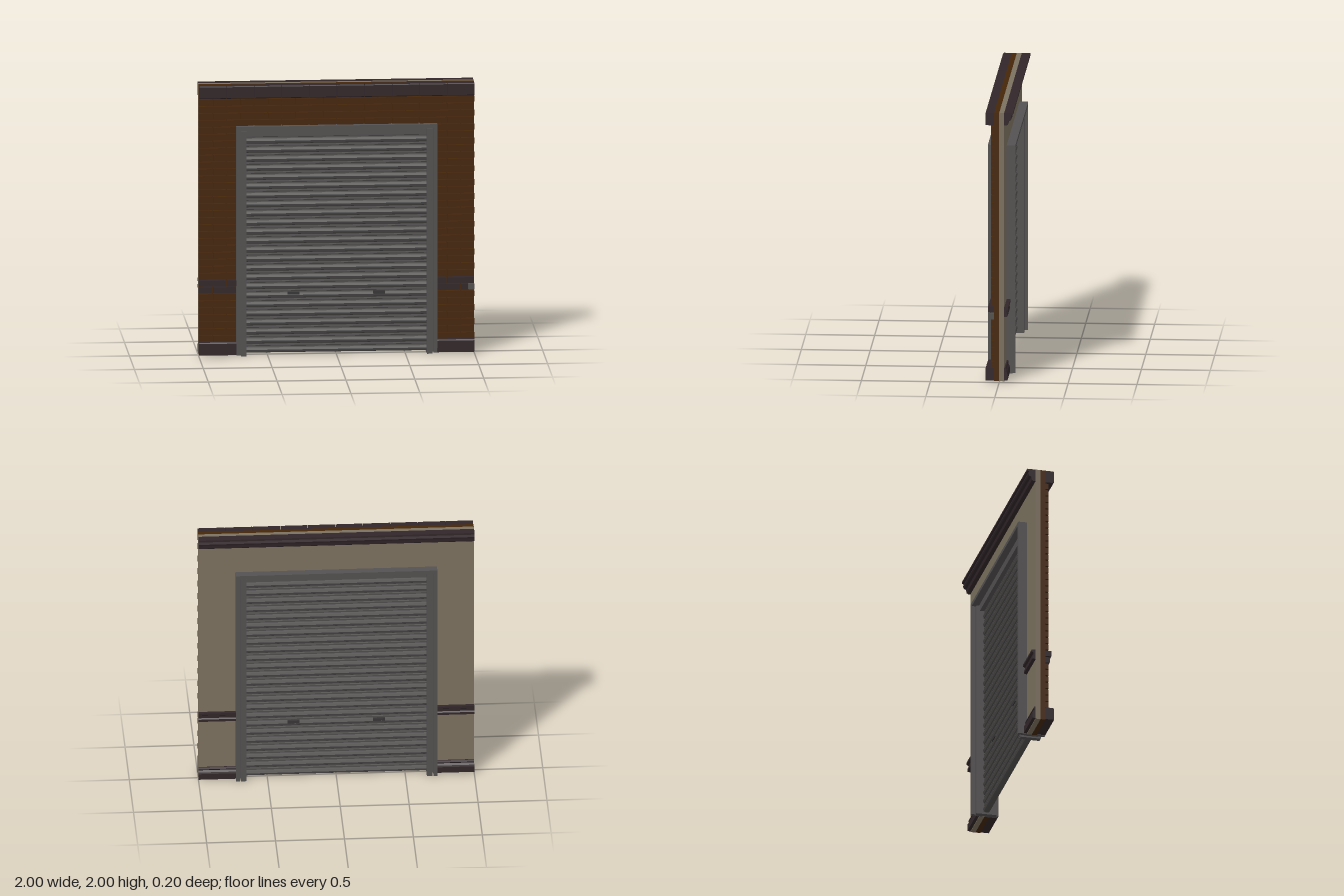
import * as THREE from 'three';
import { mergeGeometries } from 'three/addons/utils/BufferGeometryUtils.js';

const material = (name, color) => {
  const m = new THREE.MeshStandardMaterial({ color });
  m.name = name;
  return m;
};

// Box given by its limits on each axis
function box(x0, x1, y0, y1, z0, z1) {
  return new THREE.BoxGeometry(x1 - x0, y1 - y0, z1 - z0)
    .translate((x0 + x1) / 2, (y0 + y1) / 2, (z0 + z1) / 2);
}

// Profile of [z, y] points swept along x
function sweep(points, x0, x1) {
  const shape = new THREE.Shape(points.map(([z, y]) => new THREE.Vector2(z, y)));
  return new THREE.ExtrudeGeometry(shape, { depth: x1 - x0, bevelEnabled: false })
    .rotateY(-Math.PI / 2).translate(x1, 0, 0);
}

// Upside-down U: outer half width / top, inner half width / top
function portal(xo, yo, xi, yi, y0, depth) {
  const s = new THREE.Shape([[-xo, y0], [-xi, y0], [-xi, yi], [xi, yi], [xi, y0], [xo, y0], [xo, yo], [-xo, yo]]
    .map(([x, y]) => new THREE.Vector2(x, y)));
  return new THREE.ExtrudeGeometry(s, { depth: depth * 2, bevelEnabled: false }).translate(0, 0, -depth);
}

export function createModel() {
  const group = new THREE.Group();
  const brick = material('brickBrown', 0x462609);
  const plaster = material('plasterBeige', 0x7c715f);
  const trim = material('darkTrim', 0x32272a);
  const steel = material('frameSteel', 0x545151);
  const shutterGrey = material('shutterGrey', 0x504e4d);
  const handleGrey = material('handleGrey', 0x383636);

  const add = (name, parts, mat) => {
    const mesh = new THREE.Mesh(parts.length > 1 ? mergeGeometries(parts) : parts[0], mat);
    mesh.name = name;
    group.add(mesh);
  };

  const OPEN = 0.725, HEAD = 1.695;

  // Wall core: brick layer in front, plaster behind
  add('brickCore', [portal(1, 2, OPEN, HEAD, 0.01, 0.0185).translate(0, 0, 0.0185)], brick);
  add('plasterWall', [portal(1, 2, OPEN, HEAD, 0.01, 0.0185).translate(0, 0, -0.0185)], plaster);

  // Running-bond courses, with two dark projecting courses as a band
  const bricks = [], band = [];
  const pitch = 0.0513, gap = 0.0045, base = 0.105;
  for (let row = 0; row < 35; row++) {
    const y0 = base + row * pitch + gap, y1 = base + (row + 1) * pitch - gap;
    const isBand = row === 7 || row === 8;
    const shift = (row === 8 || (row % 2 === 1 && row !== 7)) ? 0 : 0.1;
    const front = row === 8 ? 0.08 : row === 7 ? 0.068 : 0.06;
    const spans = row >= 31 ? [[-1, 1]] : [[-1, -OPEN], [OPEN, 1]];
    for (const [lo, hi] of spans) {
      for (let i = -6; i <= 5; i++) {
        const a = Math.max(lo, i * 0.2 + shift + (i * 0.2 + shift > lo ? gap : 0));
        let b = Math.min(hi, (i + 1) * 0.2 + shift - gap);
        if (row === 7 && b > 0.99) b = 0.955;
        if (b - a > 0.012) (isBand ? band : bricks).push(box(a, b, y0, y1, 0.036, front));
      }
    }
  }
  add('bricks', bricks, brick);
  add('frontBand', band, trim);
  add('bandEndBlock', [box(0.957, 1, base + 7 * pitch + gap, base + 8 * pitch - gap, 0.036, 0.066)], steel);

  // Capping blocks along the top of the front
  const caps = [];
  for (let i = 0; i < 10; i++) {
    const x0 = -1 + i * 0.2, e = 0.002;
    caps.push(sweep([[0.036, 1.908], [0.094, 1.908], [0.1, 1.914], [0.1, 1.994], [0.094, 2], [0.036, 2]], x0 + e, x0 + 0.2 - e));
  }
  add('capBlocks', caps, trim);

  // Cornice on the back
  add('backCornice', [sweep([[-0.036, 2], [-0.1, 2], [-0.1, 1.986], [-0.086, 1.982], [-0.092, 1.962], [-0.086, 1.948],
    [-0.07, 1.94], [-0.065, 1.915], [-0.055, 1.908], [-0.036, 1.908]], -1, 1)], trim);

  // Plinths, skirting and chair rail on both sides of the opening
  const plinth = [], skirting = [], rail = [];
  for (const [a, b] of [[-1, -OPEN], [OPEN, 1]]) {
    plinth.push(sweep([[0.036, 0.015], [0.1, 0.015], [0.1, 0.1], [0.094, 0.108], [0.036, 0.108]], a, b));
    skirting.push(sweep([[-0.036, 0.108], [-0.046, 0.108], [-0.052, 0.095], [-0.046, 0.085], [-0.056, 0.072],
      [-0.06, 0.06], [-0.06, 0.015], [-0.036, 0.015]], a, b));
    rail.push(sweep([[-0.036, 0.56], [-0.066, 0.56], [-0.066, 0.544], [-0.052, 0.535], [-0.052, 0.516],
      [-0.06, 0.508], [-0.06, 0.49], [-0.036, 0.485]], a, b));
  }
  add('frontPlinths', plinth, trim);
  add('backSkirting', skirting, trim);
  add('backChairRail', rail, trim);

  // Door casing, inner lining and shutter guides
  add('doorCasing', [portal(0.73, 1.7, 0.702, 1.674, 0.012, 0.1)], steel);
  add('doorLining', [portal(0.702, 1.674, 0.655, 1.62, 0.012, 0.05)], steel);
  add('shutterGuides', [-1, 1].map((s) => box(s * 0.675 - 0.02, s * 0.675 + 0.02, 0, 1.66, -0.075, 0.075)), steel);

  // Roller shutter: each slat is a broad rounded rib and a small bead
  const slat = [[0, 0.012], [0.006, 0.022], [0.022, 0.028], [0.038, 0.022], [0.043, 0.012],
    [0.048, 0.012], [0.051, 0.019], [0.058, 0.019], [0.061, 0.012]];
  const count = 24, bottom = 0.015, step = (1.625 - bottom) / count;
  const face = [];
  for (let i = 0; i < count; i++) for (const [y, z] of slat) face.push([z, bottom + i * step + y]);
  face.push([0.012, 1.625]);
  const back = face.map(([z, y]) => [-z, y]).reverse();
  add('rollerShutter', [sweep([...face, ...back], -0.66, 0.66)], shutterGrey);

  // Pull handles on both faces
  const handles = [];
  for (const x of [-0.31, 0.31]) {
    for (const s of [-1, 1]) {
      handles.push(box(x - 0.044, x + 0.044, 0.443, 0.463, s * 0.025 - 0.009, s * 0.025 + 0.009));
    }
  }
  add('pullHandles', handles, handleGrey);

  return group;
}
